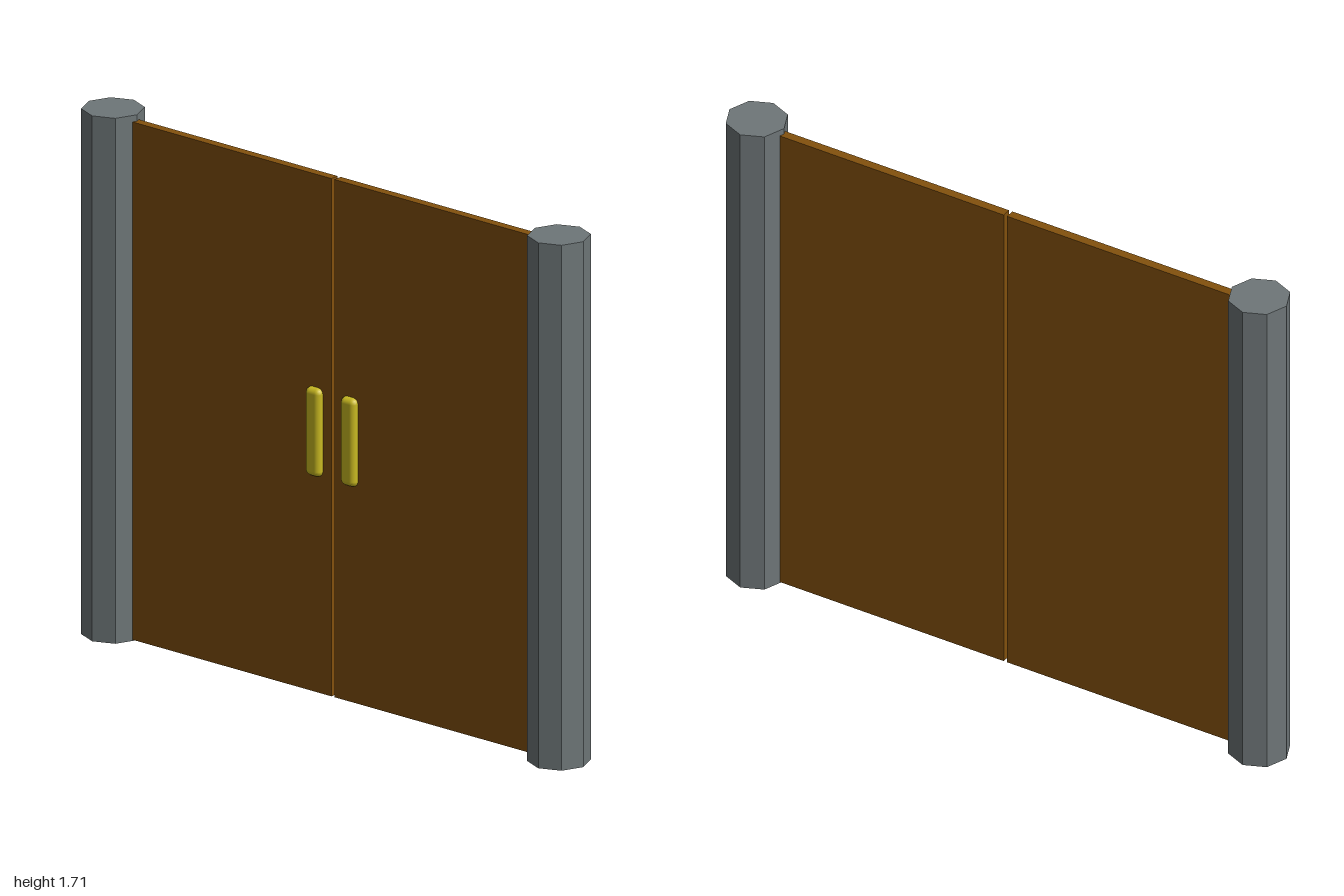
import * as THREE from 'three';
import { RoundedBoxGeometry } from 'three/addons/geometries/RoundedBoxGeometry.js';

export function createModel() {
  const stone = new THREE.MeshStandardMaterial({ color: 0x6e7678 });
  stone.name = 'grey stone';
  stone.flatShading = true;
  const wood = new THREE.MeshStandardMaterial({ color: 0x83510d });
  wood.name = 'brown wood';
  const brass = new THREE.MeshStandardMaterial({ color: 0xcdbd22 });
  brass.name = 'yellow brass';

  const group = new THREE.Group();
  group.name = 'doubleGate';

  const add = (name, geometry, material, x, y, z = 0) => {
    const mesh = new THREE.Mesh(geometry, material);
    mesh.name = name;
    mesh.position.set(x, y, z);
    group.add(mesh);
  };

  // Octagonal posts, door leaves and front pull handles, mirrored in x
  const postGeo = new THREE.CylinderGeometry(0.098, 0.098, 1.71, 8);
  const doorGeo = new THREE.BoxGeometry(0.81, 1.685, 0.03);
  const handleGeo = new RoundedBoxGeometry(0.062, 0.288, 0.044, 2, 0.019);

  for (const [side, s] of [['left', 1], ['right', -1]]) {
    add(side + 'Post', postGeo, stone, s * 0.902, 0.855);
    add(side + 'Door', doorGeo, wood, s * 0.411, 0.8465);
    add(side + 'Handle', handleGeo, brass, s * 0.071, 0.852, 0.013);
  }
  return group;
}
